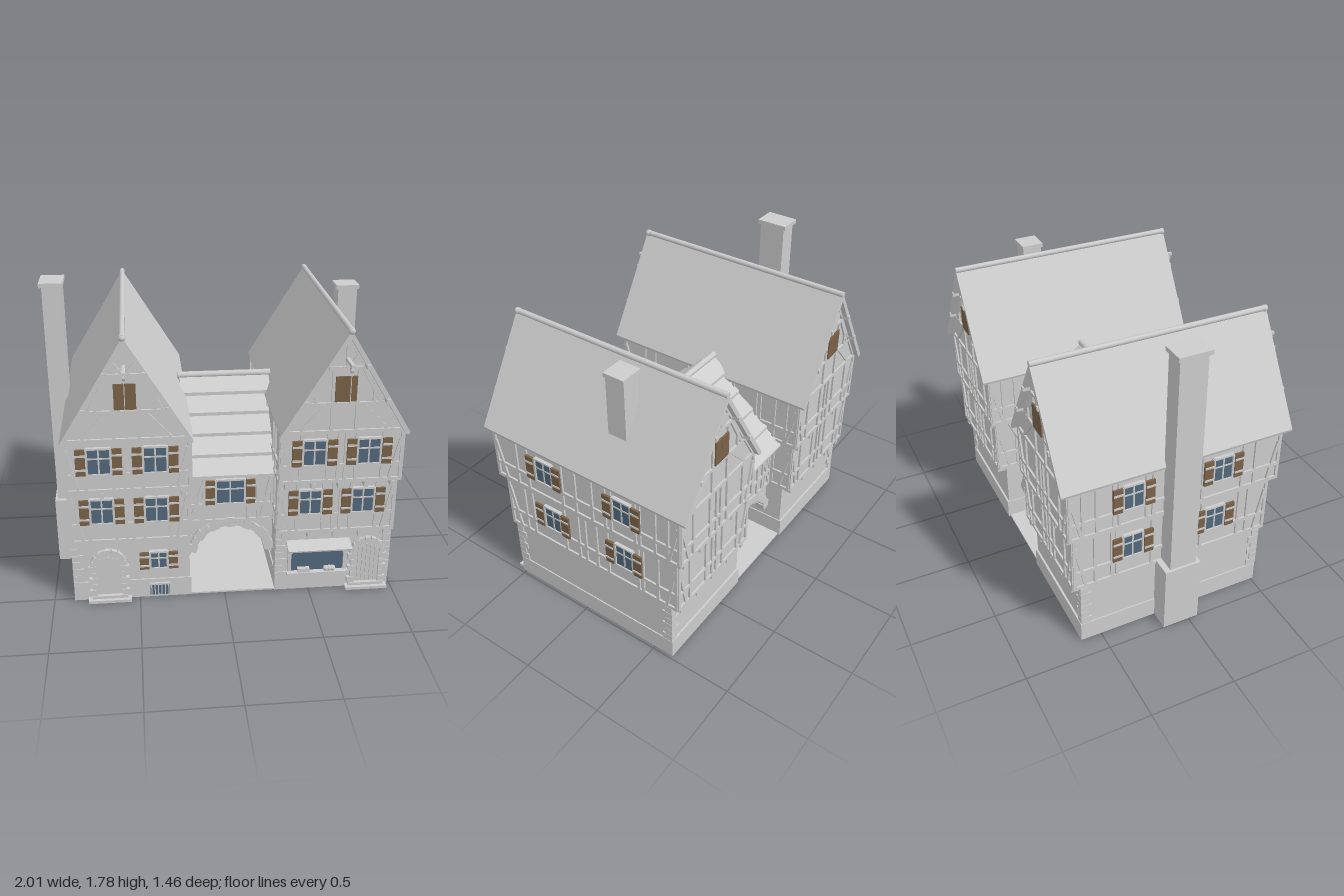
import * as THREE from 'three';

const mat = (name, color) => {
  const m = new THREE.MeshStandardMaterial({ color });
  m.name = name;
  return m;
};

export function createModel() {
  const grey = mat('pale grey', 0xcccccc);
  const brown = mat('shutter brown', 0x7a6248);
  const blue = mat('window blue', 0x52687c);

  const add = (parent, name, geo, m = grey, x = 0, y = 0, z = 0) => {
    const mesh = new THREE.Mesh(geo, m);
    mesh.name = name;
    mesh.position.set(x, y, z);
    parent.add(mesh);
    return mesh;
  };
  // Box given by its limits
  const block = (p, name, x0, x1, y0, y1, z0, z1, m = grey) =>
    add(p, name, new THREE.BoxGeometry(x1 - x0, y1 - y0, z1 - z0), m, (x0 + x1) / 2, (y0 + y1) / 2, (z0 + z1) / 2);
  // Straight timber on a wall face
  const beam = (f, u0, y0, u1, y1, w = 0.017, d = 0.022) => {
    const b = add(f, 'timber', new THREE.BoxGeometry(w, Math.hypot(u1 - u0, y1 - y0), d), grey, (u0 + u1) / 2, (y0 + y1) / 2, 0);
    b.rotation.z = Math.atan2(u0 - u1, y1 - y0);
  };
  const extrude = (p, name, pts, z0, z1) => {
    const shape = new THREE.Shape(pts.map(([x, y]) => new THREE.Vector2(x, y)));
    return add(p, name, new THREE.ExtrudeGeometry(shape, { depth: z1 - z0, bevelEnabled: false }), grey, 0, 0, z0);
  };
  // Wall face: local x runs along the wall, local z points outwards
  const face = (p, name, x, z, turn) => {
    const g = new THREE.Group();
    g.name = name;
    g.position.set(x, 0, z);
    g.rotation.y = turn;
    p.add(g);
    return g;
  };

  // Casement window with glazing bars and a pair of shutters
  const windowUnit = (f, u, y, w = 0.13, h = 0.155) => {
    const g = new THREE.Group();
    g.name = 'window';
    g.position.set(u, y, 0);
    f.add(g);
    block(g, 'glass', -w / 2, w / 2, -h / 2, h / 2, 0.004, 0.012, blue);
    for (const s of [-1, 1]) {
      beam(g, s * w / 2, -h / 2, s * w / 2, h / 2, 0.011, 0.04);
      beam(g, -w / 2, s * h / 2, w / 2, s * h / 2, 0.011, 0.04);
      const c = s * (w / 2 + 0.034);
      block(g, 'shutter', c - 0.027, c + 0.027, -h / 2, h / 2, 0.01, 0.024, brown);
      for (const t of [-0.27, 0.27]) block(g, 'shutterBatten', c - 0.027, c + 0.027, t * h - 0.006, t * h + 0.006, 0.023, 0.028);
    }
    beam(g, 0, -h / 2, 0, h / 2, 0.009, 0.03);
    beam(g, -w / 2, h * 0.12, w / 2, h * 0.12, 0.009, 0.03);
  };

  // One storey of timber framing
  const storey = (f, u0, u1, y0, ySill, y1, posts) => {
    for (const y of [y0 + 0.009, ySill, y1 - 0.009]) beam(f, u0, y, u1, y, 0.02);
    for (const u of [u0 + 0.009, u1 - 0.009, ...posts]) beam(f, u, y0, u, y1);
    beam(f, u0 + 0.075, y0, u0 + 0.015, y1 - 0.06);
    beam(f, u1 - 0.075, y0, u1 - 0.015, y1 - 0.06);
  };

  // Arched door with a stone surround and steps
  const door = (f, u) => {
    const g = new THREE.Group();
    g.name = 'door';
    g.position.x = u;
    f.add(g);
    const leaf = new THREE.Shape();
    leaf.moveTo(-0.078, 0.03).lineTo(0.078, 0.03).lineTo(0.078, 0.235);
    leaf.absarc(0, 0.235, 0.078, 0, Math.PI);
    add(g, 'doorLeaf', new THREE.ExtrudeGeometry(leaf, { depth: 0.008, bevelEnabled: false }));
    for (let i = -2; i <= 2; i++) beam(g, i * 0.025, 0.04, i * 0.025, 0.29 - Math.abs(i) * 0.008, 0.008, 0.03);
    for (const s of [-1, 1]) for (let i = 0; i < 5; i++) {
      const outer = i % 2 ? 0.098 : 0.115, y = 0.036 + i * 0.04;
      block(g, 'jambStone', Math.min(s * 0.072, s * outer), Math.max(s * 0.072, s * outer), y, y + 0.037, 0, 0.024);
    }
    for (let i = 0; i < 9; i++) {
      const a = Math.PI * (i + 0.5) / 9;
      const stone = add(g, 'archStone', new THREE.BoxGeometry(0.03, 0.031, 0.024), grey, Math.cos(a) * 0.09, 0.235 + Math.sin(a) * 0.09, 0.012);
      stone.rotation.z = a;
    }
    block(g, 'lowerStep', -0.125, 0.125, 0, 0.018, 0, 0.05);
    block(g, 'upperStep', -0.105, 0.105, 0.018, 0.036, 0, 0.03);
  };

  const model = new THREE.Group();
  model.name = 'timberFramedHouses';

  // House shell shared by both sides; outer is the sign of the street-end wall
  const house = (name, cx, outer) => {
    const h = new THREE.Group();
    h.name = name;
    h.position.x = cx;
    model.add(h);
    block(h, 'groundFloor', -0.335, 0.335, 0, 0.4, -0.61, 0.51);
    block(h, 'plinth', -0.342, 0.342, 0, 0.12, -0.622, 0.518);
    block(h, 'firstFloor', -0.335, 0.335, 0.4, 0.75, -0.655, 0.54);
    block(h, 'secondFloor', -0.34, 0.34, 0.745, 1.06, -0.675, 0.595);
    extrude(h, 'gableWall', [[-0.34, 1.06], [0.34, 1.06], [0, 1.62]], -0.675, 0.595);
    extrude(h, 'roof', [[0, 1.655], [-0.356, 1.07], [-0.352, 1.055], [-0.332, 1.06], [0, 1.61], [0.332, 1.06], [0.352, 1.055], [0.356, 1.07]], -0.717, 0.66);
    const ridge = add(h, 'ridgeTiles', new THREE.CylinderGeometry(0.016, 0.016, 1.38, 10), grey, 0, 1.652, -0.028);
    ridge.rotation.x = Math.PI / 2;
    add(h, 'finial', new THREE.SphereGeometry(0.02, 12, 8), grey, 0, 1.65, 0.65);
    for (const x of [-0.22, -0.1, 0.1, 0.22]) for (const z of [-0.7, 0.645])
      block(h, 'purlinEnd', x - 0.01, x + 0.01, 1.625 - Math.abs(x) * 1.64 - 0.02, 1.625 - Math.abs(x) * 1.64 + 0.005, z - 0.025, z + 0.025);

    // Front and back framing
    for (const end of [1, -1]) {
      const turn = end > 0 ? 0 : Math.PI, label = end > 0 ? 'front' : 'back';
      const f1 = face(h, label + 'FirstFloor', 0, end > 0 ? 0.54 : -0.655, turn);
      const f2 = face(h, label + 'SecondFloor', 0, end > 0 ? 0.595 : -0.675, turn);
      const posts = [-0.23, -0.08, -0.02, 0.02, 0.08, 0.23];
      storey(f1, -0.34, 0.34, 0.4, 0.515, 0.75, posts);
      storey(f2, -0.345, 0.345, 0.75, 0.855, 1.07, posts);
      for (let i = -2; i <= 2; i++) {
        block(f1, 'joistEnd', i * 0.15 - 0.012, i * 0.15 + 0.012, 0.36, 0.4, -0.05, 0.005);
        block(f2, 'joistEnd', i * 0.15 - 0.012, i * 0.15 + 0.012, 0.71, 0.745, -0.06, 0.005);
      }
      if (end > 0) for (const u of [-0.155, 0.15]) {
        windowUnit(f1, u, 0.603);
        windowUnit(f2, u, 0.94);
      }
      // Gable framing and loft hatch
      beam(f2, -0.24, 1.225, 0.24, 1.225);
      beam(f2, -0.12, 1.43, 0.12, 1.43);
      beam(f2, 0, 1.43, 0, 1.6);
      for (const s of [-1, 1]) {
        beam(f2, s * 0.068, 1.07, s * 0.068, 1.43);
        beam(f2, s * 0.16, 1.225, s * 0.16, 1.34);
        beam(f2, s * 0.24, 1.07, s * 0.1, 1.225);
        beam(f2, s * 0.2, 1.225, s * 0.09, 1.43);
        beam(f2, s * 0.015, 1.44, s * 0.06, 1.5);
        beam(f2, s * 0.335, 1.06, 0, 1.61, 0.025);
        block(f2, 'loftShutter', s > 0 ? 0.001 : -0.059, s > 0 ? 0.059 : -0.001, 1.24, 1.385, 0.008, 0.018, brown);
      }
    }
    // Hoist with pulley and rope
    block(h, 'hoistBeam', -0.009, 0.009, 1.472, 1.49, 0.58, 0.73);
    const pulley = add(h, 'pulley', new THREE.CylinderGeometry(0.018, 0.018, 0.014, 12), grey, 0, 1.458, 0.705);
    pulley.rotation.z = Math.PI / 2;
    block(h, 'rope', -0.002, 0.002, 1.23, 1.46, 0.703, 0.707);

    // Side framing, with windows on the outer wall only
    for (const s of [-1, 1]) {
      const f1 = face(h, 'sideFirstFloor', s * 0.335, 0, s * Math.PI / 2);
      const f2 = face(h, 'sideSecondFloor', s * 0.34, 0, s * Math.PI / 2);
      const along = (z) => -s * z;
      const span = (a, b) => [Math.min(along(a), along(b)), Math.max(along(a), along(b))];
      storey(f1, ...span(0.545, -0.66), 0.4, 0.515, 0.75, [0.42, 0.36, 0.12, 0.02, -0.03, -0.11, -0.19, -0.4, -0.43, -0.53].map(along));
      storey(f2, ...span(0.6, -0.68), 0.75, 0.855, 1.07, [0.44, 0.36, 0.11, 0.015, -0.1, -0.19, -0.23, -0.39, -0.42, -0.52, -0.6].map(along));
      if (s === outer) {
        for (const z of [0.2, -0.31]) windowUnit(f1, along(z), 0.603, 0.12);
        for (const z of [0.23, -0.31]) windowUnit(f2, along(z), 0.94, 0.12);
      }
      // Corner stones
      for (const end of [1, -1]) {
        if (s !== outer && (outer < 0 || end < 0)) continue;
        for (let i = 0; i < 6; i++) {
          const long = i % 2 ? 0.065 : 0.045, y = 0.125 + i * 0.045;
          const depth = i % 2 ? 0.045 : 0.065, z = end > 0 ? 0.52 : -0.62;
          block(h, 'cornerStone', Math.min(s * 0.343, s * (0.343 - long)), Math.max(s * 0.343, s * (0.343 - long)),
            y, y + 0.042, Math.min(z, z - end * depth), Math.max(z, z - end * depth));
        }
      }
    }
    return h;
  };

  const left = house('westHouse', -0.54, -1);
  const right = house('eastHouse', 0.64, 1);

  // West ground floor: door, small window, cellar grate
  const lf = face(left, 'groundFront', 0, 0.515, 0);
  door(lf, -0.135);
  windowUnit(lf, 0.155, 0.255, 0.1, 0.11);
  block(lf, 'cellarOpening', 0.1, 0.215, 0.015, 0.09, 0.002, 0.009, blue);
  for (let i = 0; i < 6; i++) beam(lf, 0.108 + i * 0.02, 0.015, 0.108 + i * 0.02, 0.09, 0.006, 0.026);
  beam(lf, 0.095, 0.09, 0.22, 0.09, 0.012, 0.03);

  // East ground floor: door and shop front
  const rf = face(right, 'groundFront', 0, 0.515, 0);
  door(rf, 0.205);
  block(rf, 'shopOpening', -0.25, 0.065, 0.125, 0.305, -0.003, 0.006, blue);
  block(rf, 'counter', -0.275, 0.09, 0.115, 0.13, 0, 0.04);
  for (const u of [-0.258, 0.073]) beam(rf, u, 0.12, u, 0.32, 0.02, 0.03);
  beam(rf, -0.268, 0.312, 0.083, 0.312, 0.018, 0.03);
  beam(rf, -0.25, 0.25, -0.2, 0.305, 0.012, 0.026);
  beam(rf, 0.065, 0.25, 0.015, 0.305, 0.012, 0.026);
  const awning = block(rf, 'awning', -0.28, 0.095, 0.315, 0.325, 0, 0.095);
  awning.rotation.x = 0.25;
  block(rf, 'breadTray', -0.21, -0.14, 0.13, 0.155, 0.008, 0.034);
  for (const u of [-0.04, -0.02, 0]) add(rf, 'loaf', new THREE.SphereGeometry(0.018, 10, 8), grey, u, 0.145, 0.02);

  // Outer chimney stack of the west house
  block(model, 'chimneyBase', -1, -0.87, 0, 0.42, -0.16, 0.06);
  block(model, 'chimneyShaft', -0.985, -0.875, 0.42, 1.755, -0.125, 0.035);
  block(model, 'chimneyCap', -1, -0.865, 1.755, 1.78, -0.14, 0.05);
  // Roof chimney of the east house
  block(model, 'roofChimney', 0.743, 0.857, 1.3, 1.655, -0.253, -0.137);
  block(model, 'roofChimneyCap', 0.73, 0.867, 1.655, 1.678, -0.26, -0.13);

  // Bridge building between the houses
  block(model, 'passageFloor', -0.21, 0.31, 0, 0.01, -0.61, 0.515);
  block(model, 'bridgeRoom', -0.21, 0.31, 0.4, 0.76, -0.51, 0.37);
  for (const end of [1, -1]) {
    const f = face(model, 'bridgeFace', 0.05, end > 0 ? 0.37 : -0.51, end > 0 ? 0 : Math.PI);
    storey(f, -0.25, 0.25, 0.4, 0.515, 0.75, [-0.16, -0.1, 0.1, 0.16]);
    beam(f, -0.24, 0.41, -0.15, 0.7);
    beam(f, 0.24, 0.41, 0.15, 0.7);
    if (end > 0) windowUnit(f, -0.005, 0.603, 0.17);
    // Arch of stones with its infill
    const fill = new THREE.Shape();
    fill.moveTo(-0.25, 0.41).lineTo(-0.25, 0.17).lineTo(-0.24, 0.17);
    fill.absarc(0, 0.17, 0.24, Math.PI, 0, true);
    fill.lineTo(0.25, 0.17).lineTo(0.25, 0.41);
    add(f, 'archInfill', new THREE.ExtrudeGeometry(fill, { depth: 0.03, bevelEnabled: false }), grey, 0, 0, -0.04);
    for (let i = 0; i < 13; i++) {
      const a = Math.PI * (0.08 + 0.84 * i / 12);
      const stone = add(f, 'archStone', new THREE.BoxGeometry(i % 2 ? 0.045 : 0.06, 0.05, 0.06), grey, Math.cos(a) * 0.237, 0.17 + Math.sin(a) * 0.225, -0.02);
      stone.rotation.z = a;
    }
  }
  // Stepped roof courses over the bridge
  const slope = (end, reach) => {
    const pts = [];
    for (let i = 0; i < 5; i++) {
      const z = (k) => -0.06 + end * reach * k / 5, y = (k) => 1.175 - 0.445 * k / 5;
      pts.push([-z(i), y(i) - (i ? 0.012 : 0)], [-z(i + 1), y(i + 1) + 0.008]);
    }
    pts.push([-pts[9][0] * -1, 0.725]);
    return pts;
  };
  const profile = [...slope(-1, 0.52).reverse(), ...slope(1, 0.5).slice(1)];
  const bridgeRoof = extrude(model, 'bridgeRoof', profile, 0, 0.54);
  bridgeRoof.rotation.y = Math.PI / 2;
  bridgeRoof.position.set(-0.22, 0, 0);
  const cap = add(model, 'bridgeRidge', new THREE.CylinderGeometry(0.02, 0.02, 0.56, 10), grey, 0.05, 1.172, -0.06);
  cap.rotation.z = Math.PI / 2;

  return model;
}
